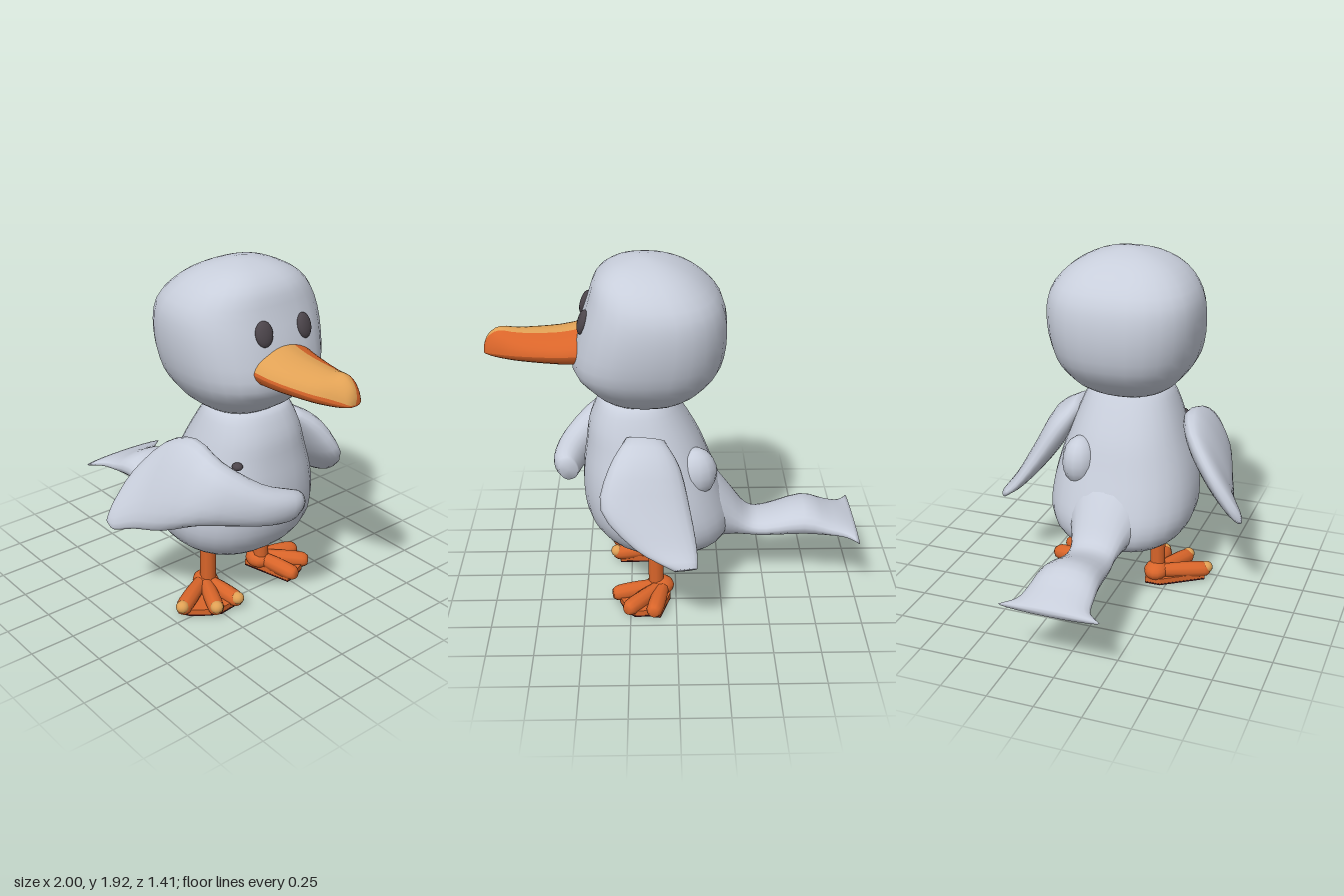
import * as THREE from 'three';

const mat = (name, color, side = THREE.FrontSide) => {
  const m = new THREE.MeshStandardMaterial({ color, side });
  m.name = name;
  return m;
};
const V = (x, y, z) => new THREE.Vector3(x, y, z);

// Skin through sections [centre, u, v]; each ring is c + u*cos + v*sin, smoothed along the path.
function loft(sections, { arc = [0, 1], power = 1, sides = 20, steps = 3, caps = true } = {}) {
  const curves = [0, 1, 2].map(k => new THREE.CatmullRomCurve3(sections.map(s => s[k]), false, 'catmullrom', 0.5));
  const closed = arc[1] - arc[0] === 1, cols = closed ? sides : sides + 1;
  const rows = (sections.length - 1) * steps;
  const sp = t => Math.sign(t) * Math.abs(t) ** power;
  const pos = [], idx = [];
  const ring = (t, scale) => {
    const [c, u, v] = curves.map(k => k.getPoint(t));
    for (let j = 0; j < cols; j++) {
      const a = (arc[0] + (arc[1] - arc[0]) * j / sides) * Math.PI * 2;
      const p = c.clone().addScaledVector(u, sp(Math.cos(a)) * scale).addScaledVector(v, sp(Math.sin(a)) * scale);
      pos.push(p.x, p.y, p.z);
    }
  };
  if (caps) ring(0, 0.001);
  for (let i = 0; i <= rows; i++) ring(i / rows, 1);
  if (caps) ring(1, 0.001);
  const mid = sections[sections.length >> 1];
  const along = sections.at(-1)[0].clone().sub(sections[0][0]);
  const flip = mid[1].clone().cross(mid[2]).dot(along) < 0;
  const n = pos.length / 3 / cols;
  for (let i = 0; i < n - 1; i++) for (let j = 0; j < sides; j++) {
    const k = (j + 1) % cols, a = i * cols + j, b = i * cols + k, c = a + cols, d = b + cols;
    if (flip) idx.push(a, c, b, b, c, d); else idx.push(a, b, c, b, d, c);
  }
  const g = new THREE.BufferGeometry();
  g.setAttribute('position', new THREE.Float32BufferAttribute(pos, 3));
  g.setIndex(idx);
  g.computeVertexNormals();
  return g;
}

// Horizontal slices: [y, back x, front x, half width]
const slices = rows => rows.map(([y, x0, x1, rz]) =>
  [V((x0 + x1) / 2, y, -0.01), V(0, 0, rz), V((x1 - x0) / 2, 0, 0)]);

// Slices along x: [x, y, half width, half height]
const ribs = (rows, z = 0) => rows.map(([x, y, rz, ry]) => [V(x, y, z), V(0, 0, rz), V(0, ry, 0)]);

// Blade sections: [edge point, opposite edge point, half thickness]
function blade(rows) {
  const pts = rows.map(([a, b, t]) => ({ a: V(...a), b: V(...b), t }));
  const cs = pts.map(p => p.a.clone().add(p.b).multiplyScalar(0.5));
  return pts.map((p, i) => {
    const u = p.a.clone().sub(p.b).multiplyScalar(0.5);
    const d = cs[Math.min(i + 1, cs.length - 1)].clone().sub(cs[Math.max(i - 1, 0)]);
    return [cs[i], u, d.cross(u).setLength(p.t)];
  });
}

export function createModel() {
  const model = new THREE.Group();
  model.name = 'duck';
  const grey = mat('greyFeathers', 0xc8cedb);
  const orange = mat('darkOrange', 0xd9652a, THREE.DoubleSide);
  const light = mat('lightOrange', 0xe0a155, THREE.DoubleSide);
  const dark = mat('eyeDark', 0x4c454b);
  const sole = mat('soleMaroon', 0x42161a, THREE.DoubleSide);
  const add = (name, geo, m, parent = model) => {
    const mesh = new THREE.Mesh(geo, m);
    mesh.name = name;
    parent.add(mesh);
    return mesh;
  };
  const blob = (name, m, [rx, ry, rz], [x, y, z], parent) => {
    const mesh = add(name, new THREE.SphereGeometry(1, 14, 10), m, parent);
    mesh.scale.set(rx, ry, rz);
    mesh.position.set(x, y, z);
    return mesh;
  };

  // Body, neck and head
  add('body', loft(slices([
    [0.255, 0.03, 0.17, 0.08], [0.285, -0.15, 0.27, 0.22], [0.36, -0.28, 0.39, 0.34], [0.47, -0.3, 0.47, 0.4],
    [0.6, -0.26, 0.5, 0.405], [0.75, -0.2, 0.5, 0.375], [0.9, -0.14, 0.48, 0.325],
    [1.03, -0.07, 0.46, 0.28], [1.14, 0, 0.41, 0.23], [1.17, 0.03, 0.37, 0.18]]), { sides: 28, power: 0.88 }), grey);
  blob('shoulderBump', grey, [0.12, 0.14, 0.1], [-0.1, 0.78, -0.2]);
  add('head', loft(slices([
    [1.13, 0.02, 0.28, 0.12], [1.165, -0.06, 0.37, 0.22], [1.23, -0.15, 0.45, 0.3], [1.35, -0.24, 0.54, 0.38],
    [1.53, -0.27, 0.51, 0.415], [1.7, -0.24, 0.455, 0.4], [1.82, -0.13, 0.41, 0.31],
    [1.89, 0, 0.32, 0.18], [1.92, 0.12, 0.2, 0.05]]), { sides: 28, power: 0.82 }), grey);

  // Flat tail flaring at its end
  add('tail', loft(ribs([
    [-0.1, 0.54, 0.25, 0.27], [-0.22, 0.495, 0.2, 0.19], [-0.31, 0.44, 0.155, 0.13], [-0.4, 0.383, 0.13, 0.072],
    [-0.5, 0.375, 0.14, 0.062], [-0.71, 0.41, 0.165, 0.09], [-0.85, 0.388, 0.18, 0.06],
    [-0.94, 0.375, 0.2, 0.04], [-1, 0.37, 0.27, 0.02]], -0.02)), grey);

  // Left wing folded across the belly, right wing hanging outward
  add('foldedWing', loft(blade([
    [[0.6, 0.77, -0.045], [0.57, 0.65, -0.035], 0.05], [[0.62, 0.8, 0.03], [0.57, 0.63, 0.05], 0.075],
    [[0.56, 0.86, 0.18], [0.53, 0.64, 0.22], 0.09], [[0.4, 0.97, 0.31], [0.39, 0.65, 0.45], 0.1],
    [[0.2, 1.03, 0.32], [0.2, 0.57, 0.55], 0.09], [[0.03, 0.97, 0.38], [0.05, 0.54, 0.62], 0.06],
    [[-0.08, 0.8, 0.52], [-0.04, 0.52, 0.69], 0.04], [[-0.1, 0.66, 0.63], [-0.09, 0.55, 0.7], 0.02]]),
  { power: 0.9 }), grey);
  add('openWing', loft(blade([
    [[0.26, 1.03, -0.29], [0.06, 1.01, -0.29], 0.04], [[0.35, 0.92, -0.42], [-0.02, 0.89, -0.37], 0.075],
    [[0.39, 0.74, -0.53], [-0.07, 0.7, -0.49], 0.065], [[0.22, 0.57, -0.63], [-0.1, 0.55, -0.6], 0.04],
    [[0.02, 0.48, -0.7], [-0.1, 0.48, -0.68], 0.02]]), { power: 0.9 }), grey);

  // Beak: light upper skin, darker right flank and lower bill
  const bill = [[0.44, 1.45, 0.2, 0.12, 0.1], [0.6, 1.435, 0.18, 0.1, 0.082], [0.8, 1.425, 0.135, 0.103, 0.06],
    [0.91, 1.42, 0.095, 0.118, 0.042], [0.97, 1.415, 0.062, 0.085, 0.025], [0.995, 1.41, 0.035, 0.04, 0.01],
    [1, 1.41, 0.001, 0.001, 0.001]];
  const upper = ribs(bill.map(([x, y, w, h]) => [x, y, w, h]));
  const lower = ribs(bill.map(([x, y, w, , h]) => [x, y, w, h]));
  const beak = new THREE.Group();
  beak.name = 'beak';
  model.add(beak);
  add('upperBill', loft(upper, { arc: [0.03, 0.31], power: 1.15, sides: 10, caps: false }), light, beak);
  add('upperBillFlank', loft(upper, { arc: [0.31, 0.5], power: 1.15, sides: 6, caps: false }), orange, beak);
  add('upperBillEdge', loft(upper, { arc: [0, 0.03], power: 1.15, sides: 2, caps: false }), orange, beak);
  add('lowerBill', loft(lower, { arc: [0.5, 1], sides: 12, caps: false }), orange, beak);

  // Eyes lying on the slope of the face, and a small dark spot beside the folded wing
  for (const [name, y, z] of [['leftEye', 1.63, 0.11], ['rightEye', 1.618, -0.15]]) {
    blob(name, dark, [0.025, 0.066, 0.049], [0.472, y, z]).rotation.set(0, -z * 1.4, 0.28);
  }
  blob('chestSpot', dark, [0.03, 0.02, 0.028], [0.415, 0.925, 0.225]);

  // Legs and three-toed feet; toes are [x, distance from the middle]
  const feet = [
    ['leftLeg', 1, 0.18, [[0.21, 0.425], [0.32, 0.29], [0.32, 0.155]]],
    ['rightLeg', -1, -0.205, [[0.12, 0.425], [0.25, 0.4], [0.315, 0.26]]],
  ];
  for (const [name, s, legZ, toes] of feet) {
    const foot = new THREE.Group();
    foot.name = name;
    model.add(foot);
    const leg = add('shin', new THREE.CylinderGeometry(0.045, 0.043, 0.24, 10), orange, foot);
    leg.position.set(0.11, 0.18, legZ);
    blob('heel', orange, [0.08, 0.055, 0.07], [0.09, 0.065, legZ], foot);

    const outline = [[0.03, legZ - 0.05 * s], [0.03, legZ + 0.04 * s]];
    for (const [x, z] of toes) {
      const from = V(0.07, 0.068, legZ), to = V(x, 0.052, z * s);
      const dir = to.clone().sub(from).normalize(), across = V(-dir.z, 0, dir.x);
      const at = (p, w, h) => [p, across.clone().multiplyScalar(w), V(0, h, 0)];
      add('toe', loft([at(from, 0.035, 0.035), at(from.clone().lerp(to, 0.55), 0.045, 0.046),
        at(to, 0.045, 0.044), at(to.clone().addScaledVector(dir, 0.035), 0.024, 0.026)], { sides: 10 }), orange, foot);
      for (const side of [s, -s]) {
        const p = to.clone().addScaledVector(across, 0.032 * side);
        outline.push([p.x, p.z]);
      }
      if (s > 0) {
        const nail = to.clone().addScaledVector(dir, 0.018);
        blob('toenail', light, [0.036, 0.034, 0.036], [nail.x, 0.063, nail.z], foot);
      }
    }

    // Webbing between the toes with a dark sole under it
    const web = new THREE.Shape(outline.map(([x, z]) => new THREE.Vector2(x, -z)));
    for (const [part, m, depth, y] of [['web', orange, 0.03, 0.01], ['sole', sole, 0.008, 0.001]]) {
      const plate = add(part, new THREE.ExtrudeGeometry(web, { depth, bevelEnabled: false }), m, foot);
      plate.rotation.x = -Math.PI / 2;
      plate.position.y = y;
    }
  }
  return model;
}
